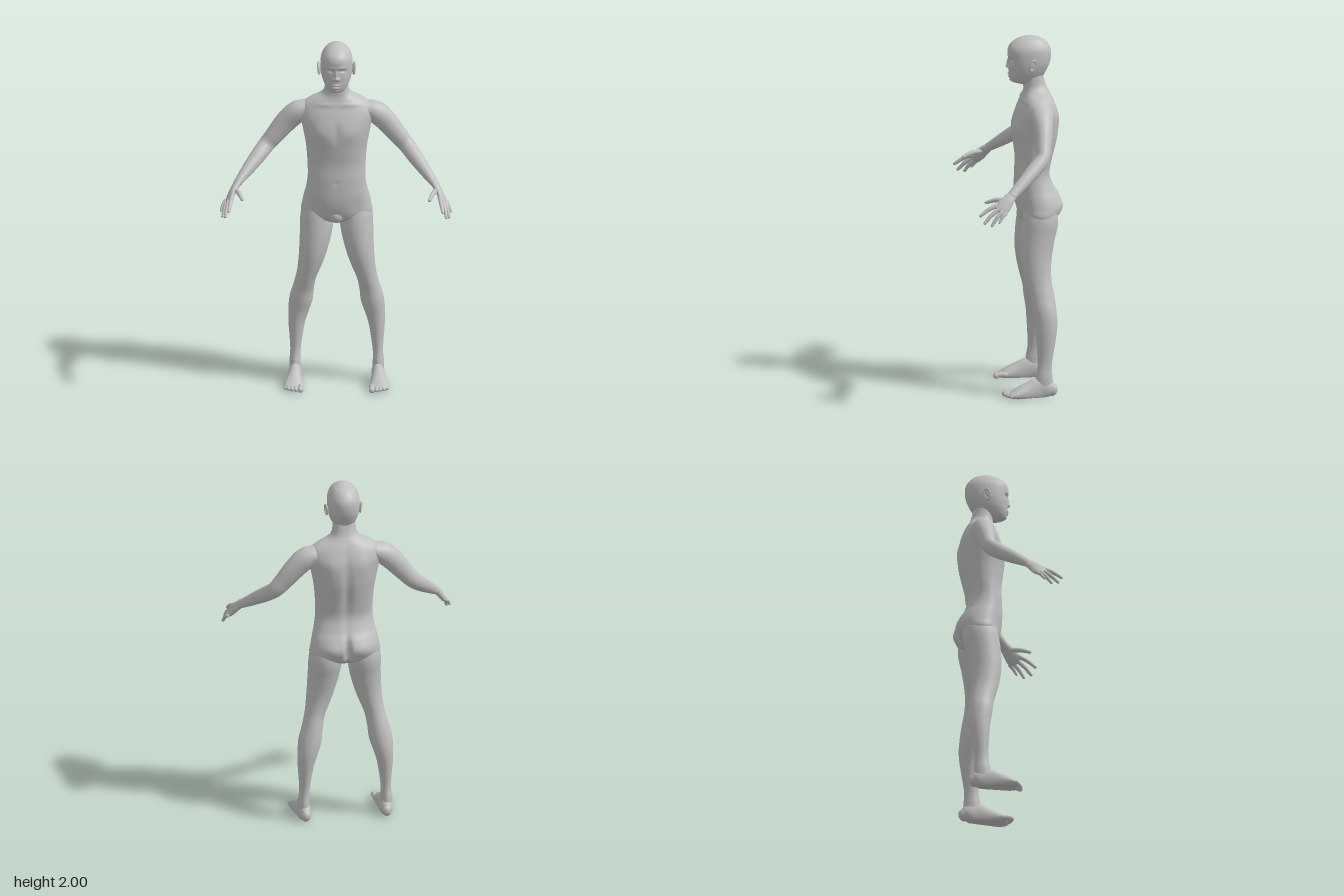
import * as THREE from 'three';

const skinMat = new THREE.MeshStandardMaterial({ color: 0xc0c0c0 });
skinMat.name = 'skin';

// Smooth interpolation through rows of numbers, t from 0 to 1
function sampleRows(rows, t) {
  const f = t * (rows.length - 1);
  const i = Math.min(Math.floor(f), rows.length - 2);
  const k = f - i;
  const p = (n) => rows[Math.max(0, Math.min(rows.length - 1, n))];
  return rows[0].map((_, c) => {
    const a = p(i - 1)[c], b = p(i)[c], d = p(i + 1)[c], e = p(i + 2)[c];
    return b + 0.5 * k * (d - a + k * (2 * a - 5 * b + 4 * d - e + k * (3 * (b - d) + e - a)));
  });
}

// Closed skin over a list of rings, with a centre point at each end
function skin(name, rings) {
  const n = rings[0].length, m = rings.length;
  const pos = [], idx = [];
  rings.forEach((r) => r.forEach((v) => pos.push(v.x, v.y, v.z)));
  for (const r of [rings[0], rings[m - 1]]) {
    const c = new THREE.Vector3();
    r.forEach((v) => c.addScaledVector(v, 1 / n));
    pos.push(c.x, c.y, c.z);
  }
  for (let j = 0; j < n; j++) {
    const k = (j + 1) % n;
    for (let i = 0; i < m - 1; i++) {
      const a = i * n + j, b = i * n + k;
      idx.push(a, b, b + n, a, b + n, a + n);
    }
    idx.push(m * n, k, j, m * n + 1, (m - 1) * n + j, (m - 1) * n + k);
  }
  const g = new THREE.BufferGeometry();
  g.setAttribute('position', new THREE.Float32BufferAttribute(pos, 3));
  g.setIndex(idx);
  g.computeVertexNormals();
  return part(name, g);
}

function part(name, geometry) {
  const mesh = new THREE.Mesh(geometry, skinMat);
  mesh.name = name;
  return mesh;
}

// Limb with domed ends; rows are [x, y, z, radius along ref, radius across]
function limb(name, rows, ref, side, steps = 40, segs = 32) {
  const at = (t) => {
    const r = sampleRows(rows, t);
    r[0] *= side;
    return r;
  };
  const rings = [];
  const addRing = (t, scale, push) => {
    const r = at(t);
    const tan = new THREE.Vector3(...at(Math.min(1, t + 0.01)))
      .sub(new THREE.Vector3(...at(Math.max(0, t - 0.01)))).normalize();
    const u = ref.clone().addScaledVector(tan, -ref.dot(tan)).normalize();
    const v = tan.clone().cross(u);
    const c = new THREE.Vector3(r[0], r[1], r[2]).addScaledVector(tan, push * Math.min(r[3], r[4]));
    rings.push(Array.from({ length: segs }, (_, j) => {
      const a = (j / segs) * Math.PI * 2;
      const q = c.clone().addScaledVector(u, Math.cos(a) * r[3] * scale)
        .addScaledVector(v, Math.sin(a) * r[4] * scale);
      q.y = Math.max(0, q.y);
      return q;
    }));
  };
  const dome = [0.15, 0.45, 0.75, 1.05, 1.35];
  dome.forEach((a) => addRing(0, Math.sin(a), -Math.cos(a)));
  for (let i = 0; i <= steps; i++) addRing(i / steps, 1, 0);
  dome.reverse().forEach((a) => addRing(1, Math.sin(a), Math.cos(a)));
  return skin(name, rings);
}

// Level-ring body; rows are [y, half width, front z, back z].
// Bumps are [x, y, spread x, spread y, outward amount, face (+1 front, -1 back)], mirrored in x.
function body(name, rows, bumps, steps, segs) {
  const rings = [];
  const pw = (c) => Math.sign(c) * Math.abs(c) ** 0.92;
  for (let i = 0; i <= steps; i++) {
    const [y, w, zf, zb] = sampleRows(rows, i / steps);
    rings.push(Array.from({ length: segs }, (_, j) => {
      const a = (j / segs) * Math.PI * 2;
      const x = w * pw(Math.cos(a)), s = -pw(Math.sin(a));
      let z = (zf + zb) / 2 + s * (zf - zb) / 2;
      for (const [bx, by, sx, sy, amount, face] of bumps) {
        const facing = Math.min(1, Math.max(0, s * face) * 2);
        z += face * amount * facing *
          Math.exp(-(((Math.abs(x) - bx) / sx) ** 2) - ((y - by) / sy) ** 2);
      }
      return new THREE.Vector3(x, y, z);
    }));
  }
  return skin(name, rings);
}

const X = new THREE.Vector3(1, 0, 0), Z = new THREE.Vector3(0, 0, 1);

function ellipsoid(name, p, s) {
  const g = new THREE.SphereGeometry(1, 32, 20);
  g.scale(...s);
  const mesh = part(name, g);
  mesh.position.set(...p);
  return mesh;
}

function createArm(side) {
  const g = new THREE.Group();
  g.name = side > 0 ? 'leftArm' : 'rightArm';
  g.add(limb('arm', [
    [0.17, 1.598, -0.14, 0.06, 0.05], [0.22, 1.575, -0.138, 0.062, 0.062],
    [0.28, 1.518, -0.137, 0.052, 0.06], [0.34, 1.445, -0.13, 0.044, 0.052],
    [0.385, 1.392, -0.12, 0.039, 0.046], [0.43, 1.345, -0.072, 0.041, 0.043],
    [0.49, 1.285, 0, 0.034, 0.034], [0.547, 1.228, 0.07, 0.027, 0.021],
  ], Z, side, 56, 40));
  g.add(limb('palm', [
    [0.54, 1.235, 0.062, 0.026, 0.02], [0.565, 1.203, 0.096, 0.035, 0.019],
    [0.582, 1.175, 0.122, 0.041, 0.017], [0.594, 1.156, 0.14, 0.037, 0.013],
  ], Z, side, 16));
  // Fingers: knuckle, tip, radius
  [
    [[0.573, 1.182, 0.158], [0.59, 1.13, 0.25], 0.0115],
    [[0.59, 1.162, 0.152], [0.61, 1.092, 0.229], 0.0115],
    [[0.604, 1.147, 0.135], [0.625, 1.08, 0.19], 0.011],
    [[0.612, 1.143, 0.112], [0.634, 1.1, 0.15], 0.0095],
    [[0.55, 1.208, 0.115], [0.517, 1.186, 0.21], 0.0125],
  ].forEach(([a, b, r], i) => {
    const mid = a.map((v, k) => (v + b[k]) / 2 + (k === 1 ? 0.006 : 0));
    g.add(limb(i < 4 ? 'finger' : 'thumb', [[...a, r * 1.1, r * 1.1], [...mid, r, r],
      [...b, r * 0.72, r * 0.72]], X, side, 10, 14));
  });
  return g;
}

function createLeg(side) {
  const g = new THREE.Group();
  g.name = side > 0 ? 'leftLeg' : 'rightLeg';
  g.add(limb('leg', [
    [0.105, 1.04, -0.143, 0.08, 0.09], [0.108, 0.97, -0.14, 0.092, 0.1],
    [0.115, 0.88, -0.125, 0.088, 0.096], [0.13, 0.78, -0.115, 0.077, 0.088],
    [0.147, 0.7, -0.117, 0.066, 0.079], [0.166, 0.625, -0.127, 0.056, 0.071],
    [0.182, 0.55, -0.143, 0.058, 0.067], [0.196, 0.48, -0.152, 0.064, 0.067],
    [0.21, 0.41, -0.16, 0.057, 0.063], [0.221, 0.33, -0.159, 0.045, 0.055],
    [0.227, 0.185, -0.151, 0.029, 0.04], [0.23, 0.11, -0.147, 0.031, 0.047],
    [0.23, 0.06, -0.147, 0.031, 0.05],
  ], X, side, 80, 48));
  g.add(limb('foot', [
    [0.226, 0.035, -0.195, 0.027, 0.035], [0.227, 0.042, -0.17, 0.035, 0.052],
    [0.229, 0.042, -0.12, 0.036, 0.068], [0.232, 0.032, -0.07, 0.042, 0.058],
    [0.236, 0.024, -0.02, 0.05, 0.043], [0.238, 0.018, 0.02, 0.054, 0.026],
    [0.237, 0.016, 0.035, 0.05, 0.018],
  ], X, side, 30, 36));
  // Toes, big to small
  for (let i = 0; i < 5; i++) {
    const r = i === 0 ? 0.0165 : 0.0125 - i * 0.0006;
    const x = i === 0 ? 0.197 : 0.203 + i * 0.0195;
    const tip = [0.068, 0.068, 0.061, 0.052, 0.04][i];
    g.add(limb('toe', [[x, 0.02, 0.015, r, r], [x, 0.021, tip - 0.02, r * 0.85, r * 0.85],
      [x, 0.015, tip, r, r * 0.95]], X, side, 10, 16));
  }
  return g;
}

function createHead() {
  const g = new THREE.Group();
  g.name = 'head';
  g.add(body('skull', [
    [1.728, 0.03, -0.035, -0.13], [1.738, 0.043, -0.002, -0.145], [1.75, 0.053, 0.011, -0.157],
    [1.77, 0.065, 0.018, -0.168], [1.8, 0.078, 0.021, -0.186], [1.84, 0.087, 0.021, -0.204],
    [1.88, 0.089, 0.025, -0.213], [1.92, 0.086, 0.027, -0.212], [1.95, 0.075, 0.015, -0.198],
    [1.975, 0.057, -0.014, -0.174], [1.991, 0.034, -0.048, -0.142], [1.998, 0.015, -0.077, -0.113],
    [2.0, 0.002, -0.093, -0.097],
  ], [
    [0, 1.85, 0.008, 0.018, 0.012, 1], [0, 1.828, 0.011, 0.01, 0.017, 1], // nose
    [0.013, 1.824, 0.007, 0.007, 0.009, 1],
    [0.035, 1.867, 0.018, 0.011, -0.012, 1], [0.035, 1.861, 0.013, 0.006, 0.007, 1], // eyes
    [0.032, 1.889, 0.022, 0.008, 0.004, 1], [0.05, 1.832, 0.02, 0.016, 0.003, 1], // brow, cheek
    [0, 1.786, 0.02, 0.006, 0.008, 1], [0, 1.772, 0.018, 0.006, 0.008, 1], // lips
    [0, 1.779, 0.023, 0.0028, -0.006, 1], [0, 1.748, 0.02, 0.012, 0.006, 1], // mouth, chin
  ], 110, 160));
  for (const side of [1, -1]) {
    const ear = new THREE.Group();
    ear.name = side > 0 ? 'leftEar' : 'rightEar';
    ear.position.set(side * 0.093, 1.848, -0.1);
    ear.rotation.set(-0.2, side * 0.3, side * -0.08);
    const rim = part('earRim', new THREE.TorusGeometry(0.019, 0.0055, 10, 28));
    rim.rotation.y = Math.PI / 2;
    rim.scale.set(0.85, 1.55, 1);
    rim.position.x = side * 0.004;
    ear.add(rim, ellipsoid('earBowl', [0, 0, 0], [0.006, 0.029, 0.016]));
    g.add(ear);
  }
  return g;
}

export function createModel() {
  const model = new THREE.Group();
  model.name = 'humanFigure';
  // Torso with the neck, from the crotch up
  model.add(body('torso', [
    [0.945, 0.09, -0.085, -0.195], [0.97, 0.16, -0.046, -0.232], [1.0, 0.196, -0.03, -0.252],
    [1.05, 0.19, -0.016, -0.267], [1.1, 0.18, -0.01, -0.254], [1.15, 0.168, -0.009, -0.226],
    [1.22, 0.159, -0.01, -0.203], [1.3, 0.161, -0.014, -0.215], [1.39, 0.168, -0.004, -0.237],
    [1.45, 0.178, 0.001, -0.248], [1.53, 0.194, -0.006, -0.25], [1.58, 0.204, -0.021, -0.244],
    [1.63, 0.19, -0.042, -0.228], [1.665, 0.145, -0.054, -0.213], [1.69, 0.095, -0.06, -0.2],
    [1.715, 0.071, -0.06, -0.187], [1.75, 0.064, -0.058, -0.176], [1.8, 0.062, -0.058, -0.165],
  ], [
    [0, 1.04, 0.014, 0.065, -0.04, -1], [0.085, 1.04, 0.055, 0.05, 0.012, -1], // buttocks
    [0, 1.4, 0.025, 0.2, -0.013, -1], [0.09, 1.55, 0.045, 0.07, 0.008, -1], // spine, shoulder blades
    [0.085, 1.49, 0.06, 0.045, 0.009, 1], [0, 1.5, 0.015, 0.06, -0.004, 1], // chest
    [0, 1.2, 0.009, 0.009, -0.006, 1], [0.07, 1.648, 0.06, 0.012, 0.005, 1], // navel, collarbones
    [0.12, 1.05, 0.04, 0.05, -0.006, 1],
  ], 110, 120));
  model.add(ellipsoid('groin', [0, 0.995, -0.058], [0.042, 0.042, 0.036]));
  model.add(createHead());
  for (const side of [1, -1]) model.add(createArm(side), createLeg(side));
  return model;
}
